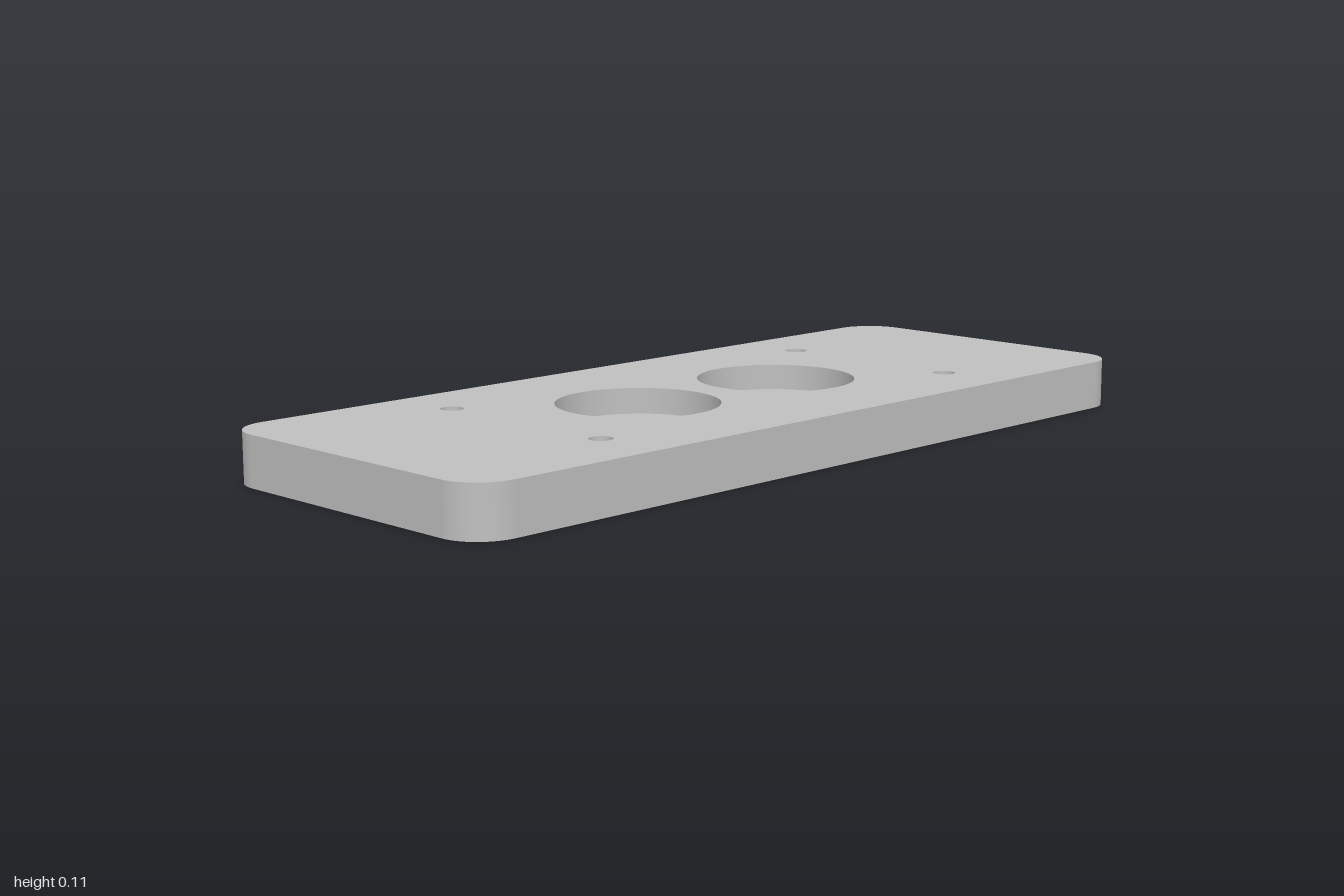
import * as THREE from 'three';

const W = 1, D = 0.393, H = 0.11, R = 0.095;   // half width, half depth, height, corner radius
const SEG = 48;

// Rounded outline as [x, z, nx, nz], with exact normals on the corner arcs
function outline() {
  const pts = [], steps = 12;
  [[1, 1], [-1, 1], [-1, -1], [1, -1]].forEach(([sx, sz], q) => {
    for (let i = 0; i <= steps; i++) {
      const a = (q + i / steps) * Math.PI / 2, c = Math.cos(a), s = Math.sin(a);
      pts.push([sx * (W - R) + R * c, sz * (D - R) + R * s, c, s]);
    }
  });
  return pts;
}

// Flat face of the plate with round holes, facing up or down
function face(holes, y, up) {
  const shape = new THREE.Shape(outline().map(([x, z]) => new THREE.Vector2(x, z)));
  for (const [x, z, r] of holes) {
    shape.holes.push(new THREE.Path().absarc(x, z, r, 0, Math.PI * 2, true));
  }
  return new THREE.ShapeGeometry(shape, SEG / 2)
    .rotateX(up ? -Math.PI / 2 : Math.PI / 2).translate(0, y, 0);
}

// Smooth band around the outside of the plate
function rimBand() {
  const pts = outline(), pos = [], nor = [], idx = [];
  pts.forEach(([x, z, nx, nz], i) => {
    pos.push(x, 0, z, x, H, z);
    nor.push(nx, 0, nz, nx, 0, nz);
    const a = 2 * i, b = 2 * ((i + 1) % pts.length);
    idx.push(a, a + 1, b, b, a + 1, b + 1);
  });
  const g = new THREE.BufferGeometry();
  g.setAttribute('position', new THREE.Float32BufferAttribute(pos, 3));
  g.setAttribute('normal', new THREE.Float32BufferAttribute(nor, 3));
  g.setIndex(idx);
  return g;
}

// Inward-facing wall of a hole, from radius r1 at the top to r0 at the bottom
const bore = (r1, y1, r0, y0) => new THREE.LatheGeometry(
  [new THREE.Vector2(r1, y1), new THREE.Vector2(r0, y0)], SEG);

const disc = (r, y, up) => new THREE.CircleGeometry(r, SEG)
  .rotateX(up ? -Math.PI / 2 : Math.PI / 2).translate(0, y, 0);

export function createModel() {
  const model = new THREE.Group();
  model.name = 'mountingPlate';
  const grey = new THREE.MeshStandardMaterial({ color: 0xc0c0c0, side: THREE.DoubleSide });
  grey.name = 'plate grey';
  const add = (name, geometry, x = 0, z = 0) => {
    const mesh = new THREE.Mesh(geometry, grey);
    mesh.name = name;
    mesh.position.set(x, 0, z);
    model.add(mesh);
  };

  const corners = (x, z, r) => [[x, z, r], [-x, z, r], [x, -z, r], [-x, -z, r]];
  const wells = [[-0.217, 0, 0.179], [0.217, 0, 0.179]];
  const screws = corners(0.54, 0.23, 0.025);
  const sinks = corners(0.54, 0.23, 0.046);
  const feet = corners(0.81, 0.3, 0.076);
  const wellFloor = 0.052, footDepth = 0.02, sinkDepth = 0.022;

  // Plate body
  add('topFace', face([...wells, ...screws], H, true));
  add('bottomFace', face([...sinks, ...feet], 0, false));
  add('rim', rimBand());

  // Large round wells in the top
  for (const [x, z, r] of wells) {
    add('wellWall', bore(r, H, r, wellFloor), x, z);
    add('wellFloor', disc(r, wellFloor, true), x, z);
  }

  // Countersunk screw holes
  screws.forEach(([x, z, r], i) => {
    add('screwHole', bore(r, H, r, sinkDepth), x, z);
    add('countersink', bore(r, sinkDepth, sinks[i][2], 0), x, z);
  });

  // Shallow foot recesses underneath
  for (const [x, z, r] of feet) {
    add('footRecessWall', bore(r, footDepth, r, 0), x, z);
    add('footRecessFloor', disc(r, footDepth, false), x, z);
  }
  return model;
}
